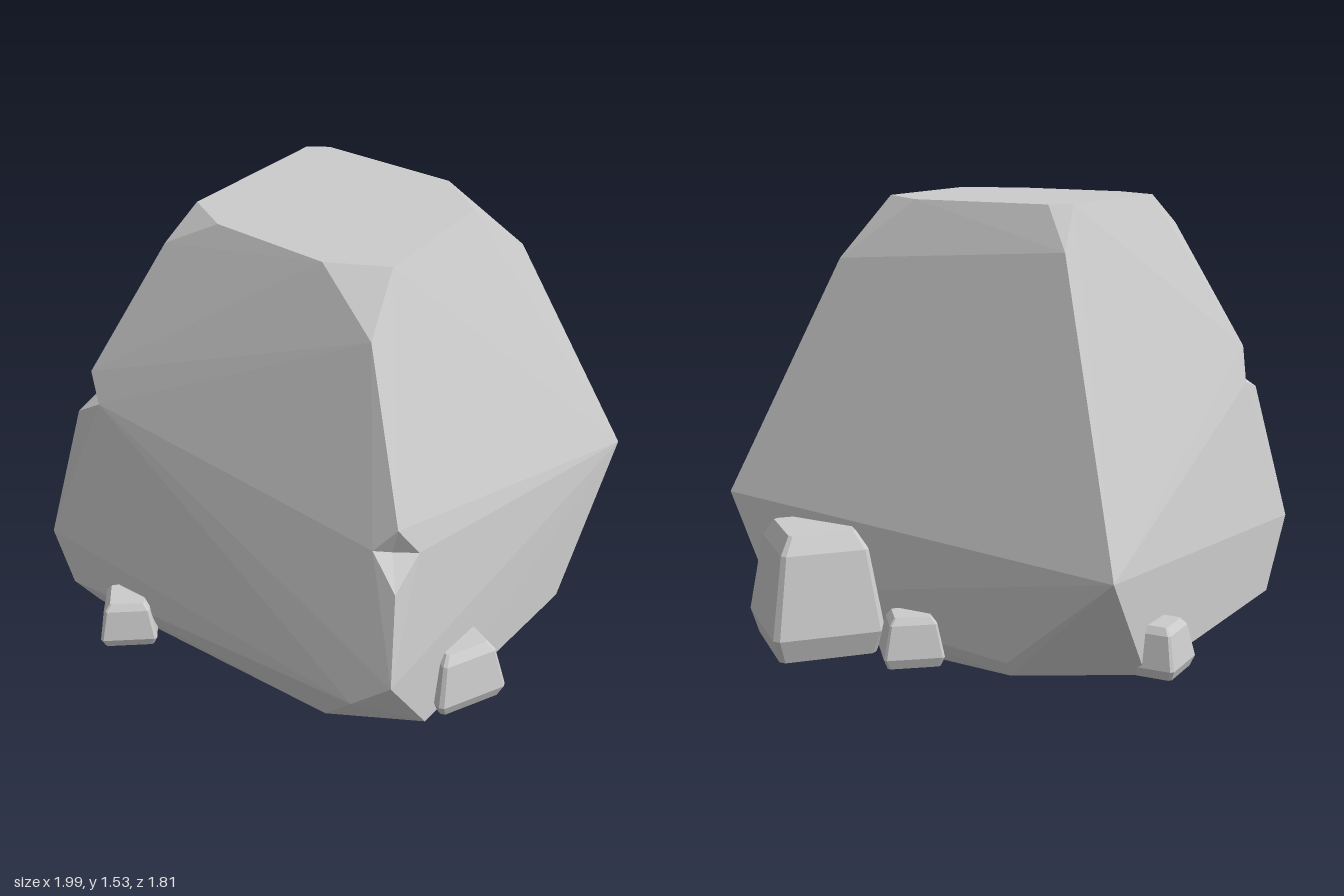
import * as THREE from 'three';
import { ConvexGeometry } from 'three/addons/geometries/ConvexGeometry.js';

const stone = new THREE.MeshStandardMaterial({ color: 0xcccccc, flatShading: true });
const V = (p) => new THREE.Vector3(...p);

function addMesh(group, name, geometry) {
  const mesh = new THREE.Mesh(geometry, stone);
  mesh.name = name;
  group.add(mesh);
  return mesh;
}

// Convex rock whose chipped corners sink to an inner point.
// Each chip: rim (counter-clockwise from outside) and its inner point.
function chippedHull(points, chips) {
  const all = [...points, ...chips.flatMap((c) => c.rim)].map(V);
  const pos = new ConvexGeometry(all).getAttribute('position');
  const out = [];
  for (let i = 0; i < pos.count; i += 3) {
    const tri = [0, 1, 2].map((k) => new THREE.Vector3().fromBufferAttribute(pos, i + k));
    const inChip = chips.some((c) =>
      tri.every((v) => c.rim.some((r) => V(r).distanceTo(v) < 1e-4)));
    if (!inChip) tri.forEach((v) => out.push(v));
  }
  for (const { rim, inner } of chips) {
    rim.forEach((r, i) => out.push(V(r), V(rim[(i + 1) % rim.length]), V(inner)));
  }
  const geometry = new THREE.BufferGeometry().setFromPoints(out);
  geometry.computeVertexNormals();
  return geometry;
}

// Small stone: stacked rings of a corner-cut rectangle.
function pebbleGeometry(w, d, h) {
  const rings = [[0, 0.87], [0.2, 1], [0.5, 0.9], [0.86, 0.78], [1, 0.6]];
  const cut = 0.1 * Math.min(w, d);
  const points = [];
  for (const [t, s] of rings) {
    for (const sx of [-1, 1]) {
      for (const sz of [-1, 1]) {
        points.push(
          new THREE.Vector3(sx * w * s, t * h, sz * (d - cut) * s),
          new THREE.Vector3(sx * (w - cut) * s, t * h, sz * d * s));
      }
    }
  }
  return new ConvexGeometry(points);
}

export function createModel() {
  const group = new THREE.Group();
  group.name = 'rockCluster';

  // Flat top outline
  const top = [
    [-0.35, -0.43], [0.265, -0.43], [0.315, -0.36], [0.315, 0.17],
    [0.165, 0.375], [-0.36, 0.405], [-0.465, 0.2], [-0.445, -0.255],
  ].map(([x, z]) => [x, 1.53, z]);

  // Shoulder corners below the top bevels
  const shoulders = [
    [-0.49, 1.42, -0.46], [0.39, 1.38, -0.465], [0.41, 1.32, 0.43], [-0.54, 1.35, 0.45],
  ];

  // Widest corners and the side edges under them
  const girth = [
    [0.66, 0.48, 0.755], [0.685, 0.375, -0.805], [-0.83, 0.26, -0.805], [-0.83, 0.28, 0.745],
    [-0.855, 0.09, -0.69], [-0.855, 0.16, 0.6], [0.69, 0.14, 0.56], [0.695, 0.05, -0.42],
  ];

  // Base outline
  const base = [
    [0.25, 0.755], [0.6, 0.56], [0.67, -0.42], [0.44, -0.805],
    [-0.646, -0.805], [-0.8, -0.62], [-0.8, 0.45], [-0.63, 0.75],
  ].map(([x, z]) => [x, 0, z]);

  // Chips broken out of the two left-hand edges
  const chips = [
    {
      rim: [[-0.7, 0.81, 0.675], [-0.735, 0.72, 0.6], [-0.755, 0.6, 0.705], [-0.62, 0.69, 0.705]],
      inner: [-0.68, 0.7, 0.64],
    },
    {
      rim: [[-0.7, 0.94, -0.66], [-0.64, 0.81, -0.7], [-0.74, 0.78, -0.7], [-0.735, 0.84, -0.6]],
      inner: [-0.685, 0.83, -0.65],
    },
  ];
  addMesh(group, 'boulder', chippedHull([...top, ...shoulders, ...girth, ...base], chips));

  // Loose stones around the foot: x, z, turn, half width, half depth, height
  const pebbles = {
    largeSideStone: [0.715, 0.34, -0.7, 0.195, 0.215, 0.425],
    smallSideStone: [0.71, -0.055, -0.86, 0.103, 0.09, 0.17],
    oppositeSideStone: [-0.868, -0.4, 0.707, 0.096, 0.102, 0.17],
    backStone: [0.365, -0.81, 0.05, 0.105, 0.1, 0.17],
    frontStone: [-0.416, 0.727, -0.43, 0.135, 0.133, 0.225],
  };
  for (const [name, [x, z, turn, w, d, h]] of Object.entries(pebbles)) {
    const pebble = addMesh(group, name, pebbleGeometry(w, d, h));
    pebble.position.set(x, 0, z);
    pebble.rotation.y = turn;
  }
  return group;
}
